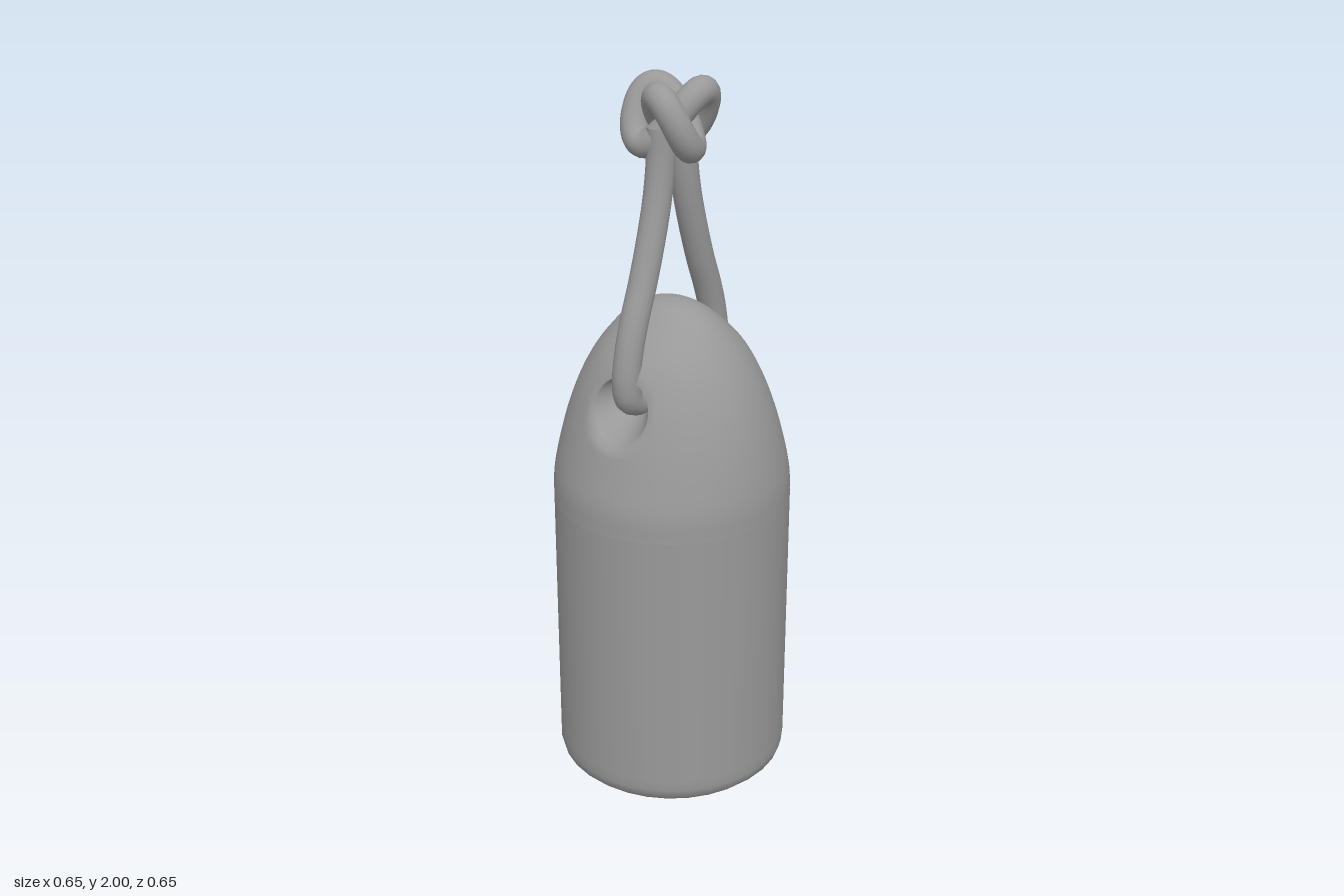
import * as THREE from 'three';

const material = new THREE.MeshStandardMaterial({ color: 0x999999, side: THREE.DoubleSide });
const V3 = (x, y, z) => new THREE.Vector3(x, y, z);
const { lerp, clamp, degToRad } = THREE.MathUtils;

const DOME_START = 0.85;
const ROPE = 0.038;
const RIM = { y: 1.163, r: 0.09 };
const BORE = { y: 1.19, r: 0.055 };
const N = 64; // points around the hole

// Dome outline (half width, height, half depth): flatter front to back near the tip
const dome = new THREE.CatmullRomCurve3([
  [0.325, DOME_START, 0.325], [0.323, 0.92, 0.32], [0.31, 1.0, 0.3], [0.285, 1.1, 0.27],
  [0.247, 1.2, 0.232], [0.195, 1.29, 0.182], [0.125, 1.37, 0.1], [0.06, 1.405, 0.045], [0, 1.415, 0],
].map((p) => V3(...p)), false, 'catmullrom');

// Dome parameter at a given height
function paramAt(y) {
  let lo = 0, hi = 1;
  for (let k = 0; k < 30; k++) {
    const mid = (lo + hi) / 2;
    if (dome.getPoint(mid).y < y) lo = mid; else hi = mid;
  }
  return lo;
}

function domePoint([theta, v]) {
  const p = dome.getPoint(v);
  return V3(p.x * Math.sin(theta), p.y, p.z * Math.cos(theta));
}

function domeNormal([theta, v]) {
  const p = dome.getPoint(Math.min(v, 0.995)), t = dome.getTangent(v);
  const across = V3(p.x * Math.cos(theta), 0, -p.z * Math.sin(theta));
  const up = V3(t.x * Math.sin(theta), t.y, t.z * Math.cos(theta));
  return across.cross(up).normalize();
}

const around = (fn) => Array.from({ length: N }, (_, i) => fn((i / N) * Math.PI * 2));

// Rim of the hole in dome coordinates (theta, v)
const rimParams = around((a) => {
  const v = paramAt(RIM.y + RIM.r * Math.sin(a));
  return [Math.asin((RIM.r * Math.cos(a)) / dome.getPoint(v).x), v];
});

// Edges of the half dome in the same coordinates, evenly spaced along each side
const side = (a) => clamp(2 - (4 * Math.acos(Math.cos(a))) / Math.PI, -1, 1);
const edgeParams = around((a) => [(Math.PI / 2) * side(a), 0.5 + 0.5 * side(a - Math.PI / 2)]);

// Half of the dome in one skin: bore, flare, then the outside from rim to edges
function halfDome() {
  const bore = (z) => around((a) => V3(BORE.r * Math.cos(a), BORE.y + BORE.r * Math.sin(a), z));
  const rim = rimParams.map(domePoint);
  const inner = bore(0.17);
  const rings = [bore(0), bore(0.14)];
  for (let k = 0; k <= 5; k++) {
    const t = k / 5;
    rings.push(inner.map((p, i) => p.clone().lerp(rim[i], t)));
  }
  const firstOuter = rings.length * N;
  const outer = [];
  for (let k = 1; k <= 16; k++) {
    outer.push(rimParams.map(([theta, v], i) => [
      lerp(theta, edgeParams[i][0], k / 16), lerp(v, edgeParams[i][1], k / 16),
    ]));
  }
  rings.push(...outer.map((ring) => ring.map(domePoint)));

  const index = [];
  for (let r = 0; r < rings.length - 1; r++) {
    for (let i = 0; i < N; i++) {
      const a = r * N + i, d = r * N + ((i + 1) % N);
      index.push(a, a + N, d + N, a, d + N, d);
    }
  }
  const geometry = new THREE.BufferGeometry().setFromPoints(rings.flat());
  geometry.setIndex(index);
  geometry.computeVertexNormals();
  // True surface normals outside, so the two halves meet without a seam
  outer.flat().forEach((param, i) => {
    geometry.attributes.normal.setXYZ(firstOuter + i, ...domeNormal(param).toArray());
  });
  return geometry;
}

export function createModel() {
  const model = new THREE.Group();
  const add = (name, geometry) => {
    const mesh = new THREE.Mesh(geometry, material);
    mesh.name = name;
    model.add(mesh);
    return mesh;
  };

  // Cylindrical body with a softly rounded foot
  add('body', new THREE.LatheGeometry([
    [0, 0], [0.2, 0.002], [0.265, 0.012], [0.3, 0.027], [0.319, 0.045],
    [0.325, 0.07], [0.325, 0.1], [0.325, DOME_START],
  ].map(([r, y]) => new THREE.Vector2(r, y)), 32));

  // Dome with the flared hole running front to back
  const domeGeometry = halfDome();
  add('frontDome', domeGeometry);
  add('backDome', domeGeometry).rotation.y = Math.PI;

  // Rope loop through the hole (z, y for one leg, mirrored for the other)
  const leg = [
    [0.08, 1.168], [0.15, 1.17], [0.19, 1.19], [0.2, 1.235], [0.188, 1.32], [0.163, 1.4],
    [0.127, 1.49], [0.09, 1.6], [0.063, 1.7], [0.048, 1.8], [0.045, 1.88],
  ];
  const path = [
    ...[...leg].reverse().map(([z, y]) => V3(0, y, z)),
    ...leg.map(([z, y]) => V3(0, y, -z)),
  ];
  add('ropeLoop', new THREE.TubeGeometry(new THREE.CatmullRomCurve3(path), 120, ROPE, 16));

  // Three-lobed knot tying the rope at the top
  const turn = degToRad(73);
  const knot = Array.from({ length: 60 }, (_, i) => {
    const u = (i / 60) * Math.PI * 2;
    const x = 2 * Math.cos(2 * u + turn) + Math.cos(turn - u);
    const z = -2 * Math.sin(2 * u + turn) - Math.sin(turn - u);
    return V3(0.033 * x, 1.897 - 0.065 * Math.sin(3 * u), 0.033 * z);
  });
  add('knot', new THREE.TubeGeometry(new THREE.CatmullRomCurve3(knot, true), 160, ROPE, 16, true));

  return model;
}
